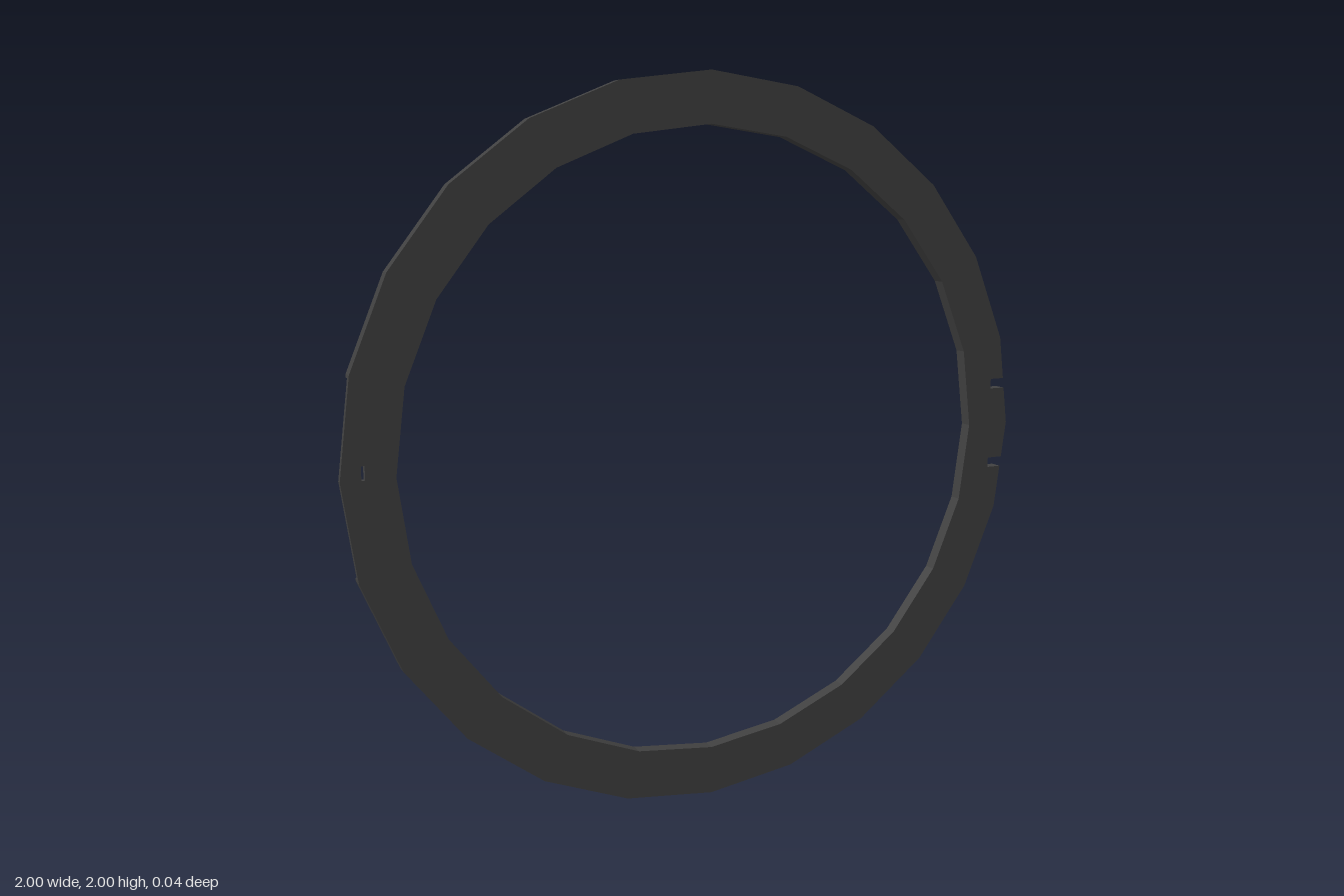
import * as THREE from 'three';

const SIDES = 24, INNER = 0.863, HALF = 0.018;
const SLOT = { x: 0.937, y0: 0.106, y1: 0.135 };
const RECESS = { x: -0.91, y: 0.25 };

// x of the outer edge beside the vertex at angle 0
const edgeX = y => 1 - Math.abs(y) * Math.tan(Math.PI / SIDES);
const corner = (i, r) => {
  const a = (i / SIDES) * Math.PI * 2;
  return [r * Math.cos(a), r * Math.sin(a)];
};
const toPoints = list => list.map(([x, y]) => new THREE.Vector2(x, y));

// Slot cut into the outer edge, from y = a to y = b
const slot = (a, b) => [[edgeX(a), a], [SLOT.x, a], [SLOT.x, b], [edgeX(b), b]];

function ringShape(withRecess) {
  const outline = [];
  for (let i = 0; i < SIDES; i++) {
    if (i === 0) {
      outline.push(...slot(-SLOT.y1, -SLOT.y0), [1, 0], ...slot(SLOT.y0, SLOT.y1));
    } else if (withRecess && i === SIDES / 2) {
      const { x, y } = RECESS;
      outline.push([-edgeX(y), y], [x, y], [x, -y], [-edgeX(y), -y]);
    } else outline.push(corner(i, 1));
  }
  const shape = new THREE.Shape(toPoints(outline));
  const inner = Array.from({ length: SIDES }, (_, i) => corner(SIDES - i, INNER));
  shape.holes.push(new THREE.Path(toPoints(inner)));
  return shape;
}

export function createModel() {
  const group = new THREE.Group();
  group.name = 'slottedRing';
  const material = new THREE.MeshStandardMaterial({ color: 0x404040, flatShading: true });

  const addLayer = (name, shape, z) => {
    const geometry = new THREE.ExtrudeGeometry(shape, { depth: HALF, bevelEnabled: false });
    const mesh = new THREE.Mesh(geometry, material);
    mesh.name = name;
    mesh.position.set(0, 1, z);
    group.add(mesh);
  };

  // Front layer: full ring with a small slit through the thin tab
  const front = ringShape(false);
  front.holes.push(new THREE.Path(toPoints([
    [-0.948, 0], [-0.948, 0.036], [-0.939, 0.036], [-0.939, 0],
  ])));
  addLayer('frontRing', front, 0);

  // Back layer: the same ring with the recess cut away
  addLayer('backRing', ringShape(true), -HALF);
  return group;
}
